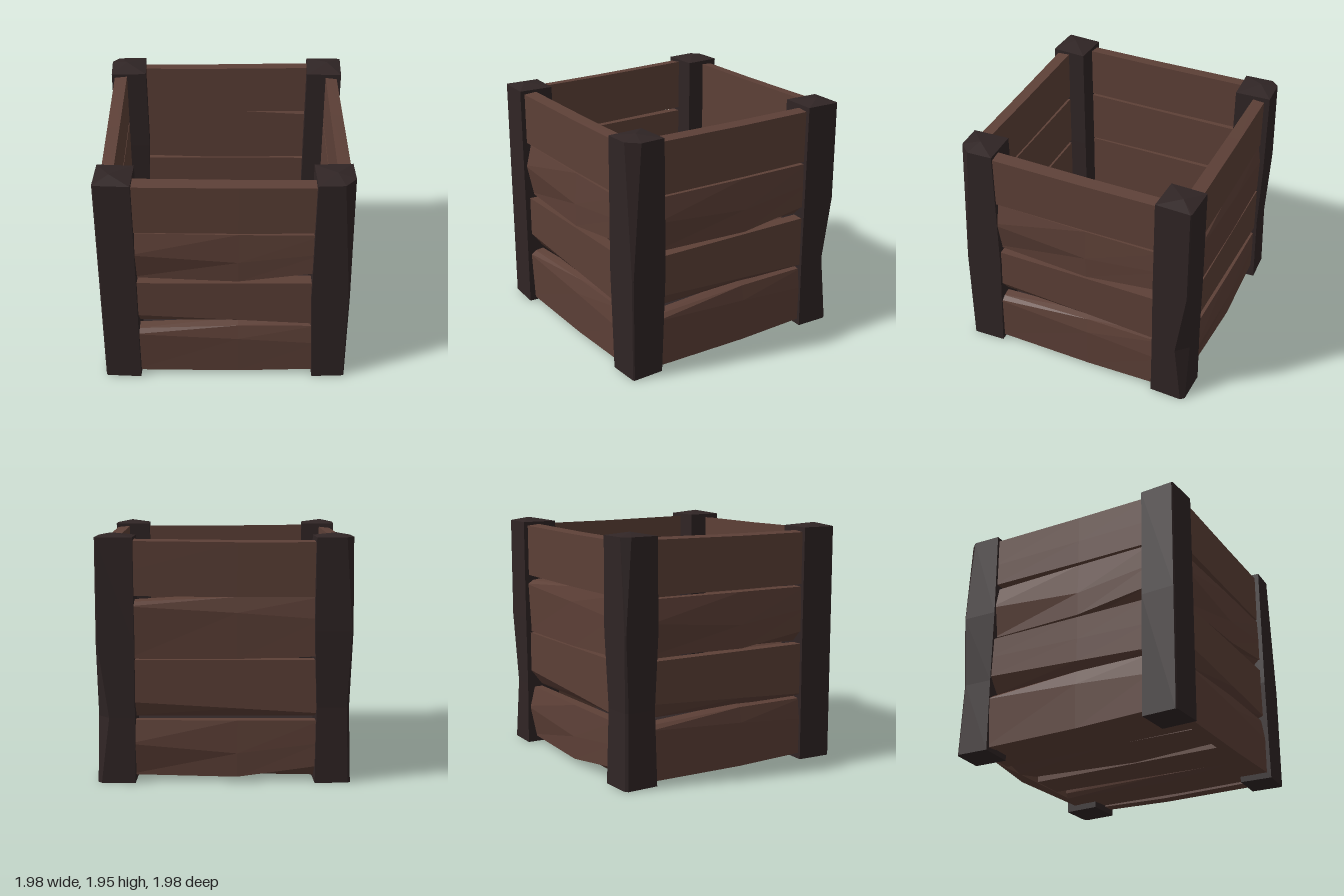
import * as THREE from 'three';

const plankWood = new THREE.MeshStandardMaterial({ color: 0x5d4037, flatShading: true });
plankWood.name = 'plankBrown';
const postWood = new THREE.MeshStandardMaterial({ color: 0x302525, flatShading: true });
postWood.name = 'postDarkBrown';

// Skin a list of equal-length rings and close both ends with fans
function loft(rings, tipOffset = [0, 0, 0]) {
  const pos = [];
  const tri = (a, b, c) => pos.push(...a, ...b, ...c);
  const n = rings[0].length;
  const centre = (r) => [0, 1, 2].map((k) => r.reduce((s, p) => s + p[k], 0) / n);
  const first = rings[0], last = rings[rings.length - 1];
  const c0 = centre(first), c1 = centre(last).map((v, k) => v + tipOffset[k]);
  for (let j = 0; j < n; j++) {
    const k = (j + 1) % n;
    for (let i = 0; i < rings.length - 1; i++) {
      const a = rings[i][j], b = rings[i][k], c = rings[i + 1][k], d = rings[i + 1][j];
      tri(a, d, c);
      tri(a, c, b);
    }
    tri(c0, first[j], first[k]);
    tri(c1, last[k], last[j]);
  }
  const g = new THREE.BufferGeometry();
  g.setAttribute('position', new THREE.Float32BufferAttribute(pos, 3));
  g.computeVertexNormals();
  return g;
}

// Plank stations: heights [inner bottom, outer bottom, ridge, outer top, inner top],
// then depths of outer bottom, ridge and outer top
const STATIONS = [-0.75, 0.1, 0.75];
const PLANKS = {
  sloped: [
    [0.01, 0.0, 0.41, 0.44, 0.45, 0.94, 0.96, 0.92],
    [0.0, 0.0, 0.36, 0.48, 0.5, 0.95, 0.96, 0.93],
    [0.02, 0.02, 0.31, 0.48, 0.49, 0.95, 0.955, 0.93],
  ],
  undercut: [
    [0.0, 0.13, 0.3, 0.46, 0.46, 0.95, 0.95, 0.95],
    [0.0, 0.08, 0.27, 0.46, 0.46, 0.95, 0.95, 0.95],
    [0.0, 0.04, 0.25, 0.46, 0.46, 0.95, 0.95, 0.95],
  ],
  chipped: [
    [0.02, 0.02, 0.28, 0.46, 0.46, 0.91, 0.965, 0.92],
    [0.01, 0.01, 0.2, 0.46, 0.46, 0.95, 0.955, 0.94],
    [0.0, 0.1, 0.28, 0.46, 0.46, 0.95, 0.95, 0.945],
  ],
  straight: [
    [0.01, 0.01, 0.2, 0.43, 0.44, 0.955, 0.955, 0.955],
    [0.0, 0.0, 0.2, 0.42, 0.43, 0.95, 0.95, 0.95],
    [0.0, 0.0, 0.2, 0.42, 0.43, 0.945, 0.945, 0.945],
  ],
};
const SLOTS = [0.03, 0.51, 0.98, 1.46];

function plankPanel(name, order) {
  const panel = new THREE.Group();
  panel.name = name;
  order.forEach((kind, s) => {
    const rings = PLANKS[kind].map(([ib, ob, m, ot, it, zb, zm, zt], i) =>
      [[ib, 0.85], [ob, zb], [m, zm], [ot, zt], [it, 0.85]].map(([y, z]) => [STATIONS[i], y + SLOTS[s], z]));
    const mesh = new THREE.Mesh(loft(rings), plankWood);
    mesh.name = name + 'Plank' + (s + 1);
    panel.add(mesh);
  });
  return panel;
}

// Post levels: [height, inner side, outer side, chamfer of the outer corner]
const POSTS = [
  { name: 'frontLeftPost', twist: -0.04, levels: [[0, 0.71, 0.98, 0.01], [0.85, 0.675, 0.98, 0.01], [1.92, 0.68, 0.975, 0.09]] },
  { name: 'backLeftPost', twist: 0.03, levels: [[0, 0.69, 0.985, 0.03], [0.52, 0.69, 0.98, 0.09], [1.1, 0.69, 0.985, 0.01], [1.92, 0.695, 0.985, 0.01]] },
  { name: 'backRightPost', twist: -0.04, levels: [[0, 0.7, 0.98, 0.02], [0.6, 0.71, 0.965, 0.02], [1.2, 0.69, 0.985, 0.01], [1.92, 0.695, 0.985, 0.06]] },
  { name: 'frontRightPost', twist: 0.05, levels: [[0, 0.695, 0.985, 0.01], [1.0, 0.695, 0.985, 0.01], [1.92, 0.7, 0.985, 0.01]] },
];

function post({ name, twist, levels }) {
  const m = 0.84, c = Math.cos(twist), s = Math.sin(twist);
  const rings = levels.map(([y, i, o, ch]) =>
    [[i, i], [o, i], [o, o - ch], [o - ch, o], [i, o]].map(([x, z]) =>
      [m + (x - m) * c - (z - m) * s, y, m + (x - m) * s + (z - m) * c]));
  const mesh = new THREE.Mesh(loft(rings, [0, 0.03, 0]), postWood);
  mesh.name = name;
  return mesh;
}

export function createModel() {
  const crate = new THREE.Group();
  crate.name = 'openCrate';

  // Four corner posts
  POSTS.forEach((spec, i) => {
    const p = post(spec);
    p.rotation.y = i * Math.PI / 2;
    crate.add(p);
  });

  // Four plank walls
  const usual = ['sloped', 'undercut', 'chipped', 'straight'];
  const swapped = ['chipped', 'undercut', 'sloped', 'straight'];
  ['frontWall', 'leftWall', 'backWall', 'rightWall'].forEach((name, i) => {
    const wall = plankPanel(name, name === 'backWall' ? swapped : usual);
    wall.rotation.y = i * Math.PI / 2;
    crate.add(wall);
  });

  // Floor planks: the same panel laid flat, outer side down
  const floor = plankPanel('floor', usual);
  floor.matrixAutoUpdate = false;
  floor.matrix.makeBasis(new THREE.Vector3(0, 0, 1.14), new THREE.Vector3(-0.91, 0, 0), new THREE.Vector3(0, -1, 0));
  floor.matrix.setPosition(0.87, 1.0, 0);
  floor.matrix.decompose(floor.position, floor.quaternion, floor.scale);
  floor.matrixAutoUpdate = true;
  crate.add(floor);

  // Dark lining over the floor planks
  const lining = new THREE.Mesh(new THREE.BoxGeometry(1.72, 0.03, 1.7), postWood);
  lining.name = 'floorLining';
  lining.position.y = 0.165;
  crate.add(lining);

  return crate;
}
